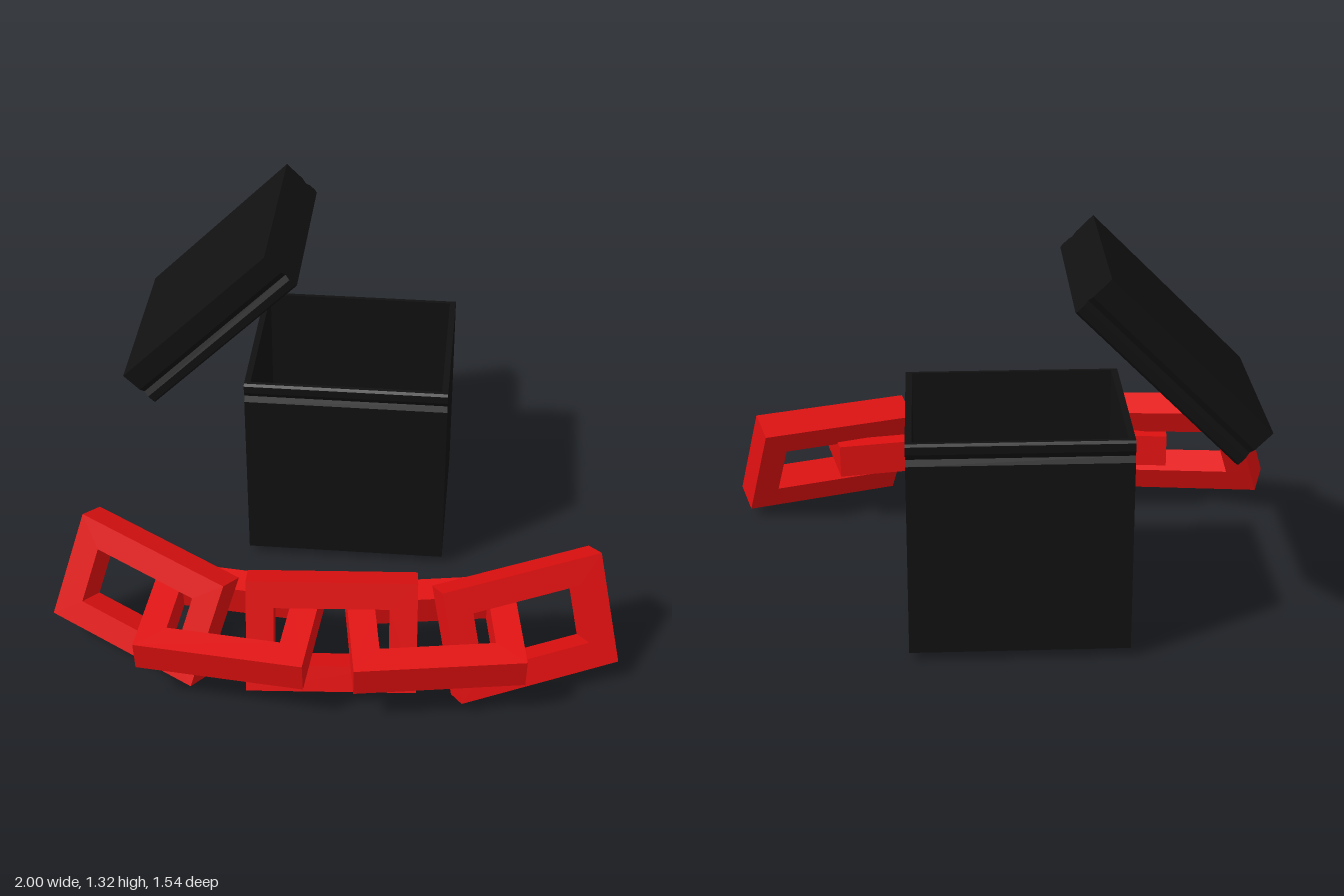
import * as THREE from 'three';

const black = new THREE.MeshStandardMaterial({ color: 0x111111, flatShading: true });
const red = new THREE.MeshStandardMaterial({ color: 0xe01010, flatShading: true });

function addMesh(parent, name, geometry, material, x = 0, y = 0, z = 0) {
  const mesh = new THREE.Mesh(geometry, material);
  mesh.name = name;
  mesh.position.set(x, y, z);
  parent.add(mesh);
  return mesh;
}

// Open tray standing on y = 0: floor, two plain ends, two grooved long walls
function tray(name, w, h, d, t) {
  const g = new THREE.Group();
  g.name = name;
  addMesh(g, 'floor', new THREE.BoxGeometry(w, t, d), black, 0, t / 2, 0);
  for (const s of [-1, 1]) {
    addMesh(g, 'endWall', new THREE.BoxGeometry(t, h - t, d - 2 * t), black, s * (w - t) / 2, (h + t) / 2, 0);
  }
  // Wall section: outer face at 0, V groove below the rim, small chamfer on top
  const section = new THREE.Shape([
    [-t, t], [0, t], [0, h - 0.075], [-0.012, h - 0.055], [0, h - 0.035],
    [0, h - 0.008], [-0.008, h], [-t, h],
  ].map(([a, b]) => new THREE.Vector2(a, b)));
  for (const s of [-1, 1]) {
    const geo = new THREE.ExtrudeGeometry(section, { depth: w, bevelEnabled: false });
    geo.translate(0, 0, -w / 2).rotateY(-s * Math.PI / 2);
    addMesh(g, 'groovedWall', geo, black, 0, 0, s * d / 2);
  }
  return g;
}

// Rectangular chain link, W x H with square-edged bars
function linkGeometry(W = 0.585, H = 0.4, D = 0.115, bar = 0.095) {
  const rect = (P, w, h) => {
    const p = new P();
    p.moveTo(-w / 2, -h / 2);
    p.lineTo(w / 2, -h / 2);
    p.lineTo(w / 2, h / 2);
    p.lineTo(-w / 2, h / 2);
    p.closePath();
    return p;
  };
  const shape = rect(THREE.Shape, W, H);
  shape.holes.push(rect(THREE.Path, W - 2 * bar, H - 2 * bar));
  return new THREE.ExtrudeGeometry(shape, { depth: D, bevelEnabled: false }).translate(0, 0, -D / 2);
}

export function createModel() {
  const model = new THREE.Group();
  model.name = 'openBoxAndChain';

  // Open box
  const box = tray('box', 0.73, 0.745, 0.63, 0.022);
  box.position.set(-0.005, 0.03, -0.44);
  model.add(box);

  // Lid: shallow tray tipped with its opening toward the box
  const lid = new THREE.Group();
  lid.name = 'lid';
  const lidTray = tray('lidTray', 0.735, 0.155, 0.665, 0.018);
  lidTray.position.y = -0.0775;
  lid.add(lidTray);
  lid.position.set(-0.485, 1.005, -0.4375);
  lid.rotation.z = -Math.PI * 0.75;
  model.add(lid);

  // Chain: each link has a centre, a long direction and a short direction
  const chain = new THREE.Group();
  chain.name = 'chain';
  const geo = linkGeometry();
  const links = [
    [[-0.66, 0.245, 0.435], [0.905, -0.145, 0.41], [0.3, 0.912, -0.28]],
    [[-0.34, 0.235, 0.54], [0.995, 0, 0.095], [0.08, 0.11, -0.99]],
    [[0.01, 0.227, 0.54], [0.998, 0, -0.07], [-0.02, 0.94, -0.35]],
    [[0.36, 0.23, 0.52], [0.986, 0, -0.165], [-0.165, 0.12, -0.98]],
    [[0.675, 0.225, 0.437], [0.915, 0.043, -0.4], [-0.2, 0.9, -0.385]],
  ];
  for (const [centre, along, across] of links) {
    const u = new THREE.Vector3(...along).normalize();
    const n = u.clone().cross(new THREE.Vector3(...across)).normalize();
    const v = n.clone().cross(u);
    const link = addMesh(chain, 'chainLink', geo, red, ...centre);
    link.quaternion.setFromRotationMatrix(new THREE.Matrix4().makeBasis(u, v, n));
  }
  model.add(chain);
  return model;
}
